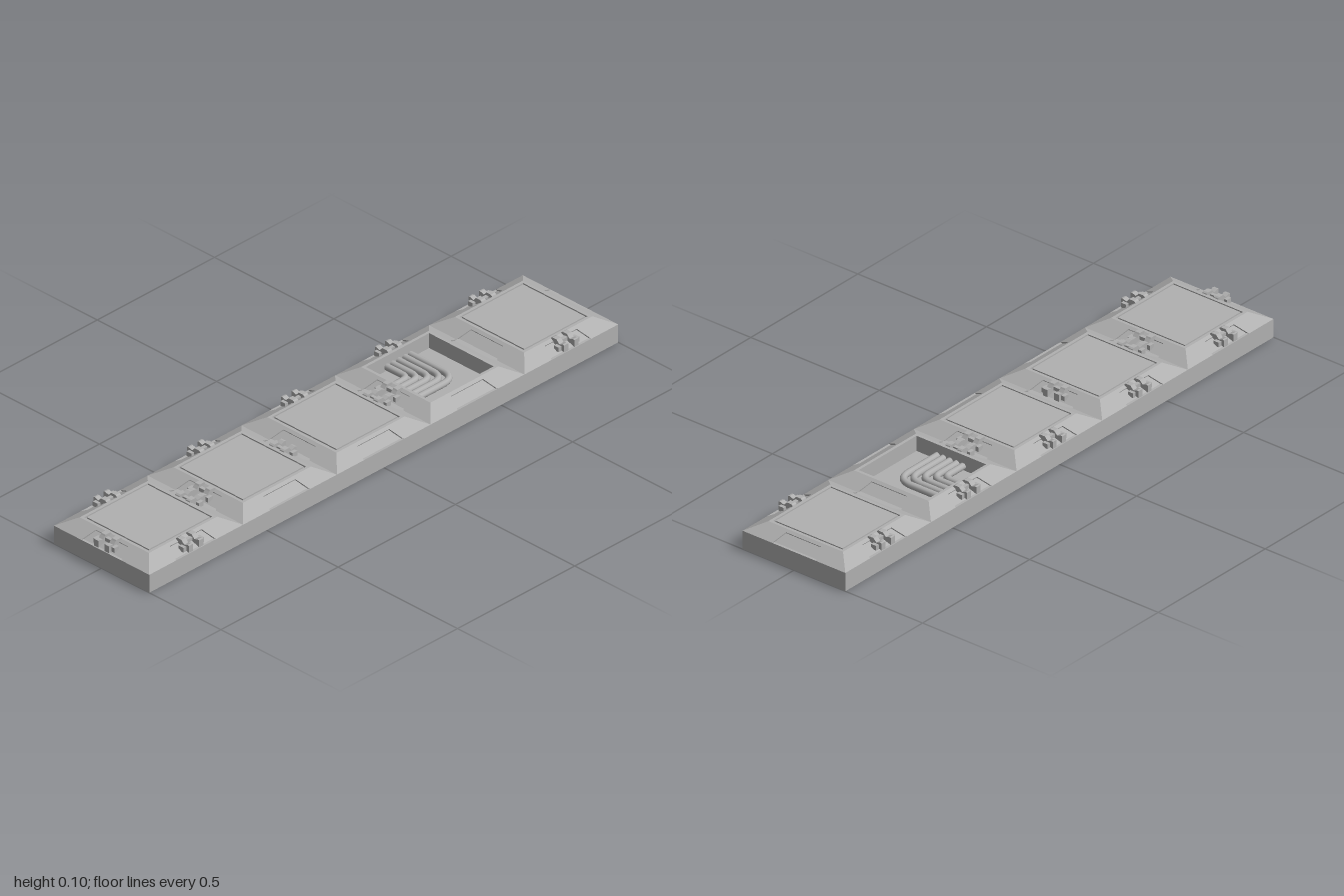
import * as THREE from 'three';

const T = 0.4, H = 0.2;                  // tile size and half size
const BASE = 0.063, TOP = 0.092;         // rim height and top height
const FLAT = 0.145, WELL = 0.135;        // half sizes of the flat top and its opening
const FLOOR = 0.04;                      // floor of the open well
const SLOPE = Math.hypot(H - FLAT, TOP - BASE);

const gray = new THREE.MeshStandardMaterial({ color: 0xb0b0b0 });
gray.name = 'plain gray';

function add(parent, geometry, name, x = 0, y = 0, z = 0) {
  const m = new THREE.Mesh(geometry, gray);
  m.name = name;
  m.position.set(x, y, z);
  parent.add(m);
  return m;
}

const polygon = (pts) => new THREE.Shape(pts.map(([x, y]) => new THREE.Vector2(x, y)));
const square = (h, cx = 0) => [[cx - h, -h], [cx + h, -h], [cx + h, h], [cx - h, h]];

// Flat shape with optional hole, extruded upwards from y0 to y1
function slab(outline, hole, y0, y1) {
  const s = polygon(outline);
  if (hole) s.holes.push(polygon(hole));
  const g = new THREE.ExtrudeGeometry(s, { depth: y1 - y0, bevelEnabled: false });
  return g.rotateX(-Math.PI / 2).translate(0, y0, 0);
}

// Plate lying in the sloped side of a tile, with its outer face sunk by the given amount
function slopePlate(pts, depth, sink) {
  const g = new THREE.ExtrudeGeometry(polygon(pts), { depth, bevelEnabled: false });
  g.translate(0, 0, -depth - sink);
  const a = (TOP - BASE) / SLOPE, b = (H - FLAT) / SLOPE;
  const m = new THREE.Matrix4().makeBasis(
    new THREE.Vector3(1, 0, 0), new THREE.Vector3(0, a, -b), new THREE.Vector3(0, b, a));
  return g.applyMatrix4(m.setPosition(0, BASE, H));
}

const NOTCH = SLOPE * 0.8;
const notched = slopePlate([[-H, 0], [-0.085, 0], [-0.068, NOTCH], [0.068, NOTCH],
  [0.085, 0], [H, 0], [FLAT, SLOPE], [-FLAT, SLOPE]], 0.006, 0);
const backing = slopePlate([[-0.1, 0], [0.1, 0], [0.1, SLOPE * 0.95], [-0.1, SLOPE * 0.95]], 0.004, 0.004);

// Clip profile: distance outwards, height
const clipShape = polygon([[0.142, 0.085], [0.2, 0.066], [0.2, 0.09], [0.194, 0.091],
  [0.18, 0.086], [0.172, 0.094], [0.169, 0.098], [0.151, 0.098], [0.146, 0.095]]);
const clip = new THREE.ExtrudeGeometry(clipShape, { depth: 0.018, bevelEnabled: false });
clip.translate(0, 0, -0.009).rotateY(-Math.PI / 2);

// One sloped side facing +z, with or without a pair of clips
function makeSide(clips) {
  const side = new THREE.Group();
  side.name = clips ? 'clippedSide' : 'plainSide';
  add(side, notched, 'slopeFrame');
  add(side, backing, 'slopeInset');
  if (clips) {
    for (const s of [-1, 1]) {
      add(side, clip, 'clip', s * 0.022);
      add(side, new THREE.BoxGeometry(0.012, 0.016, 0.02), 'clipFoot', s * 0.038, 0.076, 0.18);
    }
    add(side, new THREE.BoxGeometry(0.03, 0.012, 0.012), 'clipBridge', 0, 0.083, 0.165);
  }
  return side;
}

// Bent pipe from the back wall of the well to its left-hand wall
function pipe(o) {
  const r = 0.03 + (o + 0.03) * 0.3;
  const p = (x, z) => new THREE.Vector3(x, FLOOR + 0.014, z);
  const path = new THREE.CurvePath();
  path.add(new THREE.LineCurve3(p(o, -WELL), p(o, o - r)));
  path.add(new THREE.QuadraticBezierCurve3(p(o, o - r), p(o, o), p(o - r, o)));
  path.add(new THREE.LineCurve3(p(o - r, o), p(-WELL, o)));
  return new THREE.TubeGeometry(path, 40, 0.011, 10);
}

// Sides in order: front, left (+x), back, right (-x); 1 means clips
const tiles = [
  { sides: [1, 1, 1, 1] },
  { sides: [0, 1, 1, 1] },
  { sides: [0, 1, 1, 0] },
  { sides: [0, 0, 1, 1], open: true },
  { sides: [1, 0, 1, 0] },
];

export function createModel() {
  const model = new THREE.Group();
  model.name = 'tileStrip';

  // Base block with an opening for the well
  const wellX = T;
  add(model, new THREE.BoxGeometry(2, FLOOR, T), 'baseBlock', 0, FLOOR / 2);
  add(model, slab([[-1, -H], [1, -H], [1, H], [-1, H]], square(WELL, wellX), FLOOR, BASE), 'baseRim');

  tiles.forEach(({ sides, open }, i) => {
    const tile = new THREE.Group();
    tile.name = 'tile';
    tile.position.x = (i - 2) * T;
    model.add(tile);

    sides.forEach((clips, k) => {
      const side = makeSide(clips);
      side.rotation.y = k * Math.PI / 2;
      tile.add(side);
    });
    add(tile, slab(square(FLAT), square(WELL), BASE, TOP), 'topFrame');

    if (open) {
      for (const o of [0.054, 0.03, 0.004, -0.022, -0.046]) add(tile, pipe(o), 'pipe');
    } else {
      // Flush panel surrounded by a narrow groove
      add(tile, slab(square(WELL), null, BASE, TOP - 0.006), 'grooveFloor');
      add(tile, slab(square(0.13), null, TOP - 0.006, TOP), 'topPanel');
    }
  });
  return model;
}
